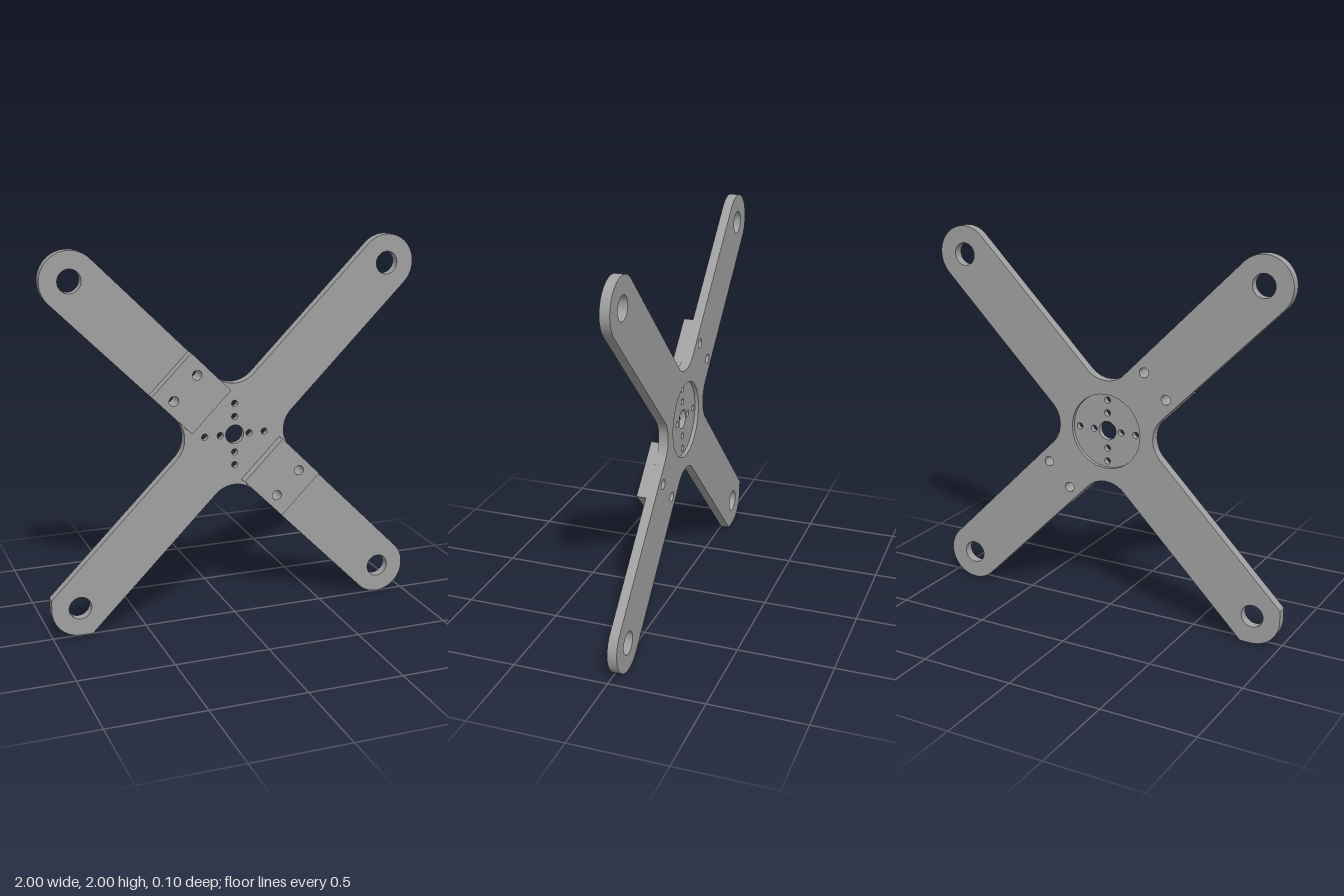
import * as THREE from 'three';
import { toCreasedNormals } from 'three/addons/utils/BufferGeometryUtils.js';

const D = Math.PI / 180;
const END = 0.85, R = 0.15, FILLET = 0.424, FLAT = 0.788;

function circle(x, y, r) {
  const p = new THREE.Path();
  p.absarc(x, y, r, 0, Math.PI * 2, true);
  return p;
}

// Four round-ended arms joined by fillets; the lower right-hand end has two flats
function crossOutline() {
  const s = new THREE.Shape();
  for (const a of [45, 135, 225, 315]) {
    const cx = END * Math.sign(Math.cos(a * D)), cy = END * Math.sign(Math.sin(a * D));
    if (a === 225) {
      s.lineTo(-1, -FLAT);
      s.absarc(cx, cy, R, 180 * D, 270 * D, false);
      s.lineTo(-FLAT, -1);
    } else if (a === 45) {
      s.moveTo(cx + R * Math.SQRT1_2, cy - R * Math.SQRT1_2);
      s.absarc(cx, cy, R, -45 * D, 135 * D, false);
    } else {
      s.absarc(cx, cy, R, (a - 90) * D, (a + 90) * D, false);
    }
    const f = a + 45;
    s.absarc(FILLET * Math.cos(f * D), FILLET * Math.sin(f * D), R, (f + 225) * D, (f + 135) * D, true);
  }
  return s;
}

// Screw holes shared by the pads and the arms beneath them
function padHoles(side) {
  return [circle(side * 0.345, -side * 0.22, 0.026), circle(side * 0.22, -side * 0.345, 0.026)];
}

function slab(name, shape, holes, z0, z1, material) {
  shape.holes.push(...holes);
  const geo = new THREE.ExtrudeGeometry(shape, { depth: z1 - z0, bevelEnabled: false, curveSegments: 24 });
  const mesh = new THREE.Mesh(toCreasedNormals(geo, 30 * D), material);
  mesh.position.z = z0;
  mesh.name = name;
  return mesh;
}

export function createModel() {
  const model = new THREE.Group();
  model.name = 'crossPlate';
  const grey = new THREE.MeshStandardMaterial({ color: 0xa0a0a0 });
  grey.name = 'grey';

  // Holes through the whole plate
  const throughHoles = () => {
    const h = [...padHoles(1), ...padHoles(-1)];
    for (const x of [-END, END]) for (const y of [-END, END]) h.push(circle(x, y, 0.06));
    return h;
  };

  // Bore and small bolt holes in the thin hub
  const hubHoles = [circle(0, 0, 0.05)];
  for (const s of [-1, 1]) {
    for (const x of [0.08, 0.165]) hubHoles.push(circle(s * x, 0, 0.017));
    for (const y of [0.096, 0.166]) hubHoles.push(circle(0, s * y, 0.017));
  }

  // Front layer forms the floor of the round recess in the back layer
  model.add(slab('frontPlate', crossOutline(), [...throughHoles(), ...hubHoles], -0.03, 0, grey));
  model.add(slab('recessedBackPlate', crossOutline(), [...throughHoles(), circle(0, 0, 0.2)], -0.05, -0.03, grey));

  // Square pads on two opposite arms
  for (const side of [-1, 1]) {
    const cx = side * 0.25, cy = -side * 0.25, h = 0.212;
    const pad = new THREE.Shape([[h, 0], [0, h], [-h, 0], [0, -h]].map(([x, y]) => new THREE.Vector2(cx + x, cy + y)));
    model.add(slab(side > 0 ? 'leftPad' : 'rightPad', pad, padHoles(side), 0, 0.05, grey));
  }

  model.children.forEach((m) => { m.position.y = 1; });
  return model;
}
